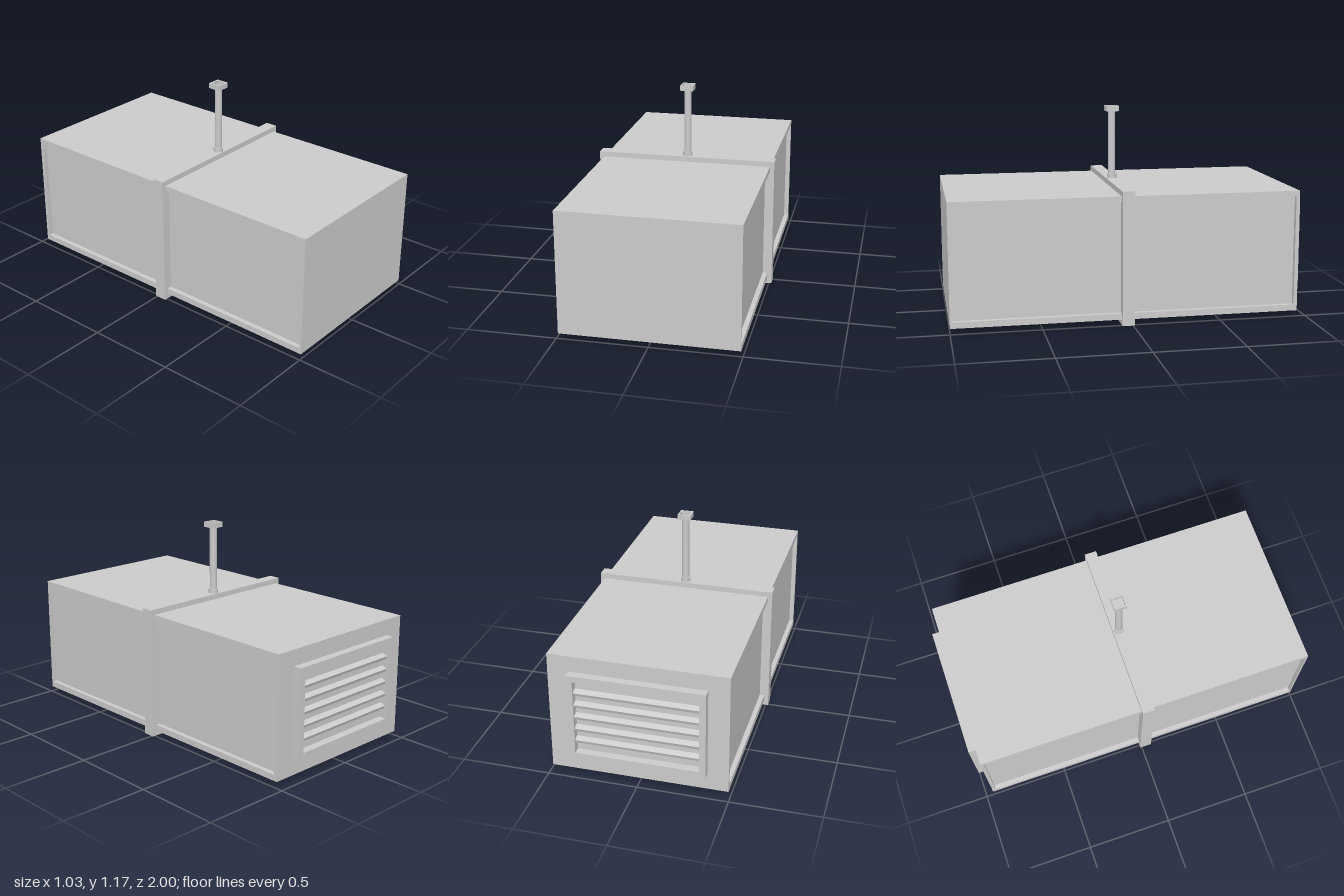
import * as THREE from 'three';

const material = new THREE.MeshStandardMaterial({ color: 0xcccccc, flatShading: true });
const smooth = new THREE.MeshStandardMaterial({ color: 0xcccccc });

// Rectangle given by its edges
function rect(Type, l, r, b, t) {
  return new Type().moveTo(l, b).lineTo(r, b).lineTo(r, t).lineTo(l, t).closePath();
}

// Rectangular ring extruded along +z; outer and inner are [left, right, bottom, top]
function ringGeometry(outer, inner, depth) {
  const shape = rect(THREE.Shape, ...outer);
  shape.holes.push(rect(THREE.Path, ...inner));
  return new THREE.ExtrudeGeometry(shape, { depth, bevelEnabled: false });
}

export function createModel() {
  const model = new THREE.Group();
  const add = (name, geometry, x = 0, y = 0, z = 0, mat = material) => {
    const mesh = new THREE.Mesh(geometry, mat);
    mesh.name = name;
    mesh.position.set(x, y, z);
    model.add(mesh);
    return mesh;
  };

  const front = 1, back = -0.955, bottom = 0.03, top = 0.72;
  const half = 0.49, recess = 0.027;

  // Main housing between the recessed side panels
  add('housing', new THREE.BoxGeometry(2 * (half - recess), top - bottom, front - back),
    0, (top + bottom) / 2, (front + back) / 2);

  // Raised rims around both side panels
  for (const side of [-1, 1]) {
    const rim = ringGeometry([-front, -back, bottom, top], [-0.99, 0.935, 0.065, 0.69], recess);
    rim.rotateY(Math.PI / 2);
    add(side > 0 ? 'leftPanelRim' : 'rightPanelRim', rim, side > 0 ? half - recess : -half);
  }

  // Band clamped around the middle
  add('supportBand', ringGeometry([-0.515, 0.515, 0, 0.75],
    [-half + recess, half - recess, bottom, top], 0.07), 0, 0, -0.01);

  // Hanging rod with collar and open square socket
  const rodX = 0.005, rodZ = 0.025;
  add('rodCollar', new THREE.CylinderGeometry(0.028, 0.028, 0.025, 16), rodX, 0.7625, rodZ, smooth);
  add('hangingRod', new THREE.CylinderGeometry(0.021, 0.021, 0.39, 16), rodX, 0.945, rodZ, smooth);
  const s = 0.037, i = 0.028;
  const socket = ringGeometry([-s, s, -s, s], [-i, i, -i, i], 0.03);
  socket.rotateX(-Math.PI / 2);
  add('rodSocket', socket, rodX, 1.14, rodZ);
  add('rodSocketFloor', new THREE.BoxGeometry(2 * s, 0.004, 2 * s), rodX, 1.142, rodZ);

  // Rear vent: frame and tilted slats
  add('ventFrame', ringGeometry([-0.375, 0.375, 0.125, 0.63], [-0.34, 0.34, 0.16, 0.595], 0.045), 0, 0, -1);
  for (let n = 0; n < 5; n++) {
    const slat = add('ventSlat', new THREE.BoxGeometry(0.68, 0.018, 0.034),
      0, 0.16 + 0.435 * (n + 1) / 6, -0.973);
    slat.rotation.x = -0.35;
  }
  return model;
}
